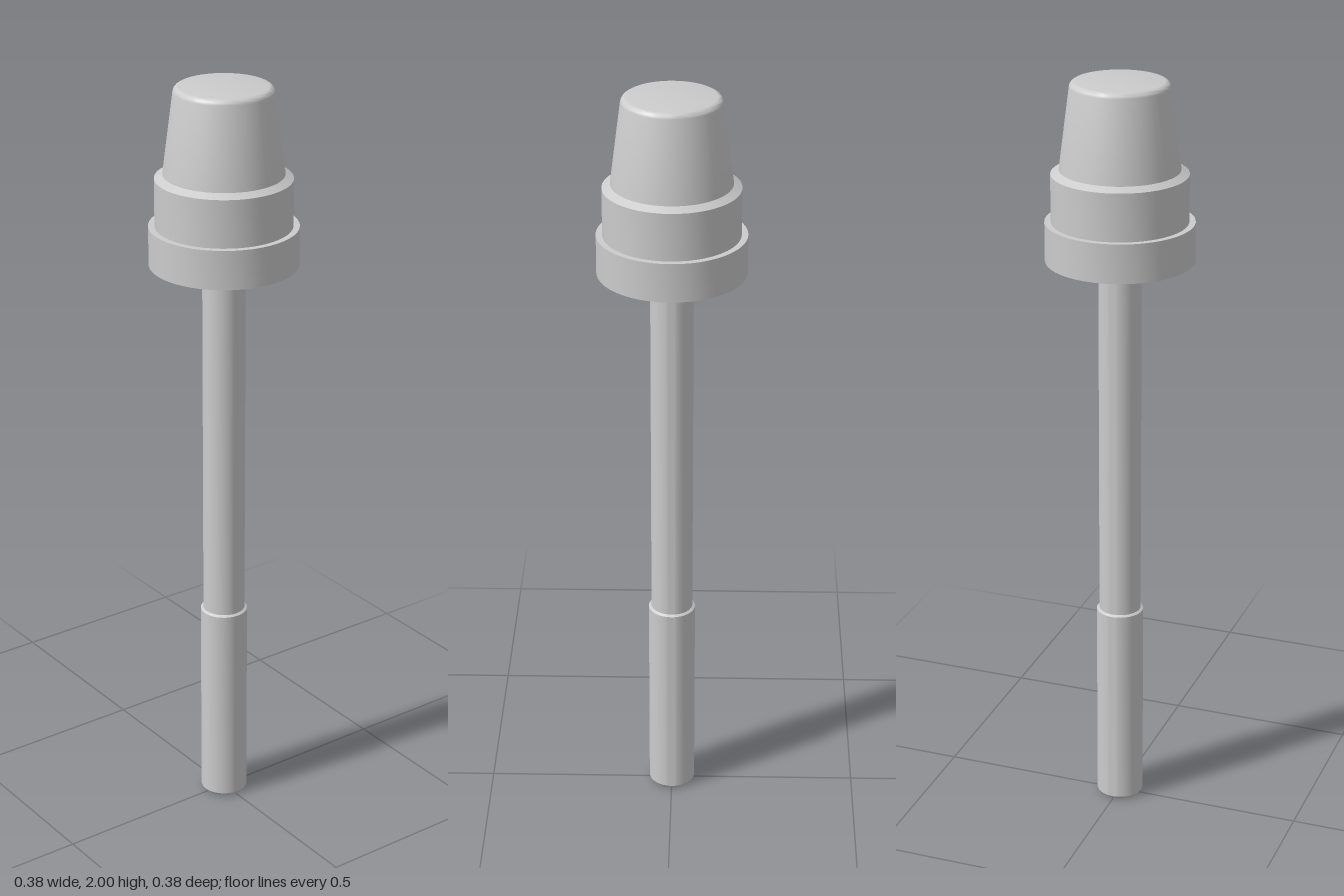
import * as THREE from 'three';
import { toCreasedNormals } from 'three/addons/utils/BufferGeometryUtils.js';

const SEGMENTS = 48;
const material = new THREE.MeshStandardMaterial({ color: 0xcccccc });

// Turned part from [radius, height] pairs, listed from bottom to top
function turned(name, profile) {
  const points = profile.map(([r, y]) => new THREE.Vector2(r, y));
  const geometry = toCreasedNormals(new THREE.LatheGeometry(points, SEGMENTS), 0.6);
  const mesh = new THREE.Mesh(geometry, material);
  mesh.name = name;
  return mesh;
}

export function createModel() {
  const group = new THREE.Group();
  group.name = 'turnedPin';

  // Thicker lower end with a small chamfer
  group.add(turned('lowerSleeve', [
    [0, 0], [0.055, 0], [0.062, 0.01], [0.062, 0.56], [0.055, 0.564],
  ]));

  // Long slim shaft
  group.add(turned('shaft', [[0.055, 0.564], [0.055, 1.516]]));

  // Flange with a shallow conical underside, and the stepped collar above it
  group.add(turned('flangeAndCollar', [
    [0.055, 1.516], [0.19, 1.54], [0.19, 1.642], [0.174, 1.642],
    [0.174, 1.766], [0.153, 1.777],
  ]));

  // Tapered head with a rounded top edge
  const edge = [];
  for (let i = 0; i <= 4; i++) {
    const a = 0.12 + (i / 4) * (Math.PI / 2 - 0.12);
    edge.push([0.111 + 0.015 * Math.cos(a), 1.985 + 0.015 * Math.sin(a)]);
  }
  group.add(turned('taperedHead', [[0.153, 1.777], ...edge, [0, 2]]));

  return group;
}
